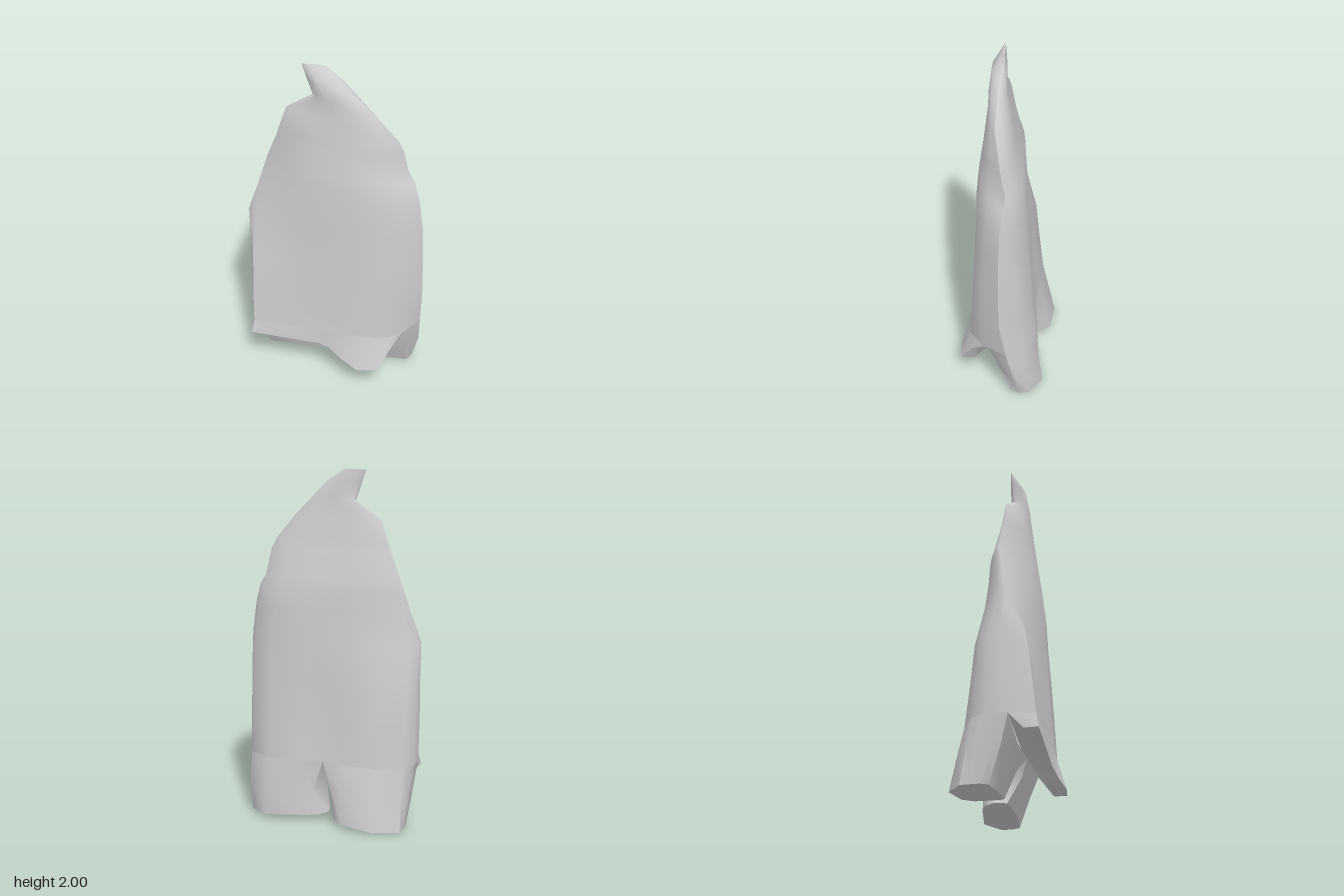
import * as THREE from 'three';
import { toCreasedNormals } from 'three/addons/utils/BufferGeometryUtils.js';

// Skin a list of equal-length point rows; optionally join each row into a ring and cap the ends.
function loft(rows, { ring = true, capFirst = false, capLast = false }) {
  const pos = [];
  const tri = (...pts) => pts.forEach((p) => pos.push(...p));
  const n = rows[0].length;
  for (let r = 0; r < rows.length - 1; r++) {
    for (let i = 0; i < (ring ? n : n - 1); i++) {
      const j = (i + 1) % n;
      const [a, b, c, d] = [rows[r][i], rows[r + 1][i], rows[r + 1][j], rows[r][j]];
      tri(a, b, c);
      tri(a, c, d);
    }
  }
  const cap = (row) => {
    const mid = [0, 1, 2].map((k) => row.reduce((s, p) => s + p[k], 0) / n);
    row.forEach((p, i) => tri(mid, p, row[(i + 1) % n]));
  };
  if (capFirst) cap(rows[0]);
  if (capLast) cap([...rows[rows.length - 1]].reverse());
  const g = new THREE.BufferGeometry();
  g.setAttribute('position', new THREE.Float32BufferAttribute(pos, 3));
  return toCreasedNormals(g, 0.9);
}

export function createModel() {
  const group = new THREE.Group();
  const cloth = new THREE.MeshStandardMaterial({ color: 0xcccccc, side: THREE.DoubleSide });
  cloth.name = 'pale grey cloth';
  const add = (name, rows, options) => {
    const mesh = new THREE.Mesh(loft(rows, options), cloth);
    mesh.name = name;
    group.add(mesh);
  };

  // Cloak body: y, right edge x, left edge x, right edge z, left edge z, front z, back z, squareness
  const bodyRows = [
    [2.0, -0.19, -0.06, 0.03, 0.03, 0.035, 0.025, 0],
    [1.93, -0.165, 0.04, 0.035, 0.03, 0.09, 0.01, 0],
    [1.83, -0.13, 0.14, 0.035, 0.045, 0.1, 0.0, 0],
    [1.73, -0.28, 0.24, 0.03, 0.05, 0.105, -0.018, 0],
    [1.6, -0.325, 0.34, 0.025, 0.02, 0.12, -0.042, 0],
    [1.54, -0.345, 0.367, 0.02, 0.01, 0.127, -0.055, 0],
    [1.39, -0.405, 0.393, 0.01, -0.02, 0.15, -0.095, 0],
    [1.34, -0.42, 0.43, 0.015, -0.01, 0.155, -0.105, 0],
    [1.22, -0.455, 0.465, 0.035, 0.005, 0.166, -0.115, 0],
    [1.05, -0.51, 0.49, 0.06, 0.01, 0.17, -0.13, 0.1],
    [0.83, -0.51, 0.5, 0.05, 0.01, 0.178, -0.15, 0.8],
    [0.6, -0.51, 0.505, 0.055, 0.01, 0.19, -0.165, 0.95],
    [0.36, -0.505, 0.493, 0.055, -0.03, 0.207, -0.19, 1],
  ];
  // Position across the width, share of front (+) or back (-) depth when soft and when square
  const outline = [
    [0, 0, 0], [0.05, 0.25, 1.08], [0.22, 0.75, 1.03], [0.35, 0.97, 1], [0.6, 1, 1], [0.82, 0.85, 0.93],
    [0.92, 0.5, 0.58], [1, 0, 0], [0.95, -0.5, -0.65], [0.82, -1, -1], [0.62, -1, -0.92],
    [0.5, -0.93, -0.88], [0.37, -0.87, -0.93], [0.18, -0.72, -1], [0.04, -0.3, -0.68], [0.003, -0.08, -0.4],
  ];
  const body = bodyRows.map(([y, x0, x1, z0, z1, zf, zb, k]) => outline.map(([t, soft, square]) => {
    const edge = z0 + (z1 - z0) * t;
    const f = soft + (square - soft) * k;
    return [x0 + (x1 - x0) * t, y, edge + Math.abs(f) * ((f > 0 ? zf : zb) - edge)];
  }));
  add('cloakBody', body, { capFirst: true });

  // Legs grow from the back half of the lowest body ring, split at the crotch
  const base = body[body.length - 1];
  const top = base[0][1];
  const recess = 0.28;
  const crotch = base[11][0];
  const level = (points, y0, slope) => points.map(([x, z]) => [x, y0 + slope * x, z]);

  add('rightLeg', [
    [base[0], [-0.495, top, 0.08], [-0.25, recess, 0.08], [crotch, recess, 0.08], [crotch, 0.32, -0.05],
      ...base.slice(11)],
    level([[-0.492, 0.0], [-0.475, 0.04], [-0.25, 0.045], [-0.065, 0.04], [-0.06, -0.07],
      [-0.055, -0.175], [-0.138, -0.21], [-0.327, -0.227], [-0.47, -0.143], [-0.49, -0.09]], 0.2, 0),
    level([[-0.472, -0.07], [-0.44, -0.03], [-0.25, -0.02], [-0.08, -0.03], [-0.075, -0.1],
      [-0.08, -0.19], [-0.14, -0.247], [-0.33, -0.266], [-0.47, -0.175], [-0.473, -0.12]], 0.042, 0.09),
  ], { capLast: true });

  add('leftLeg', [
    [[crotch, 0.32, -0.05], [crotch, recess, 0.08], [0.25, recess, 0.08], [0.42, top, 0.08],
      ...base.slice(7, 12)],
    level([[0.045, -0.06], [0.045, 0.04], [0.25, 0.045], [0.42, 0.01], [0.482, -0.07],
      [0.455, -0.14], [0.32, -0.21], [0.115, -0.185], [0.05, -0.168]], 0.19, 0),
    level([[-0.02, -0.1], [0, -0.03], [0.2, -0.02], [0.42, -0.05], [0.44, -0.1],
      [0.43, -0.16], [0.32, -0.232], [0.1, -0.19], [0.02, -0.16]], 0.038, -0.04),
  ], { capLast: true });

  // Front hem from right to left: top x, top outer z, recess y, hem x, hem y, hem outer z, hem inner z
  const hem = [
    [base[1][0], base[1][2], top, -0.472, 0.28, 0.235, 0.155],
    [base[3][0], base[3][2], recess, -0.06, 0.262, 0.212, 0.18],
    [0.0, base[4][2], recess, 0.0, 0.24, 0.213, 0.18],
    [base[4][0], base[4][2], recess, 0.08, 0.19, 0.235, 0.175],
    [0.2, 0.2, recess, 0.18, 0.15, 0.265, 0.17],
    [base[5][0], base[5][2], recess, 0.31, 0.158, 0.245, 0.17],
    [0.365, 0.148, 0.32, 0.355, 0.27, 0.185, 0.12],
    [base[6][0], base[6][2], top, 0.415, 0.345, 0.1, 0.08],
  ];
  add('frontHem', hem.map(([xt, zt, yr, x, y, zo, zi], i) => [
    [i ? xt : -0.495, yr, 0.08], [x, y, zi], [x, y, zo], [xt, top, zt],
  ]), { ring: false, capFirst: true });

  return group;
}
